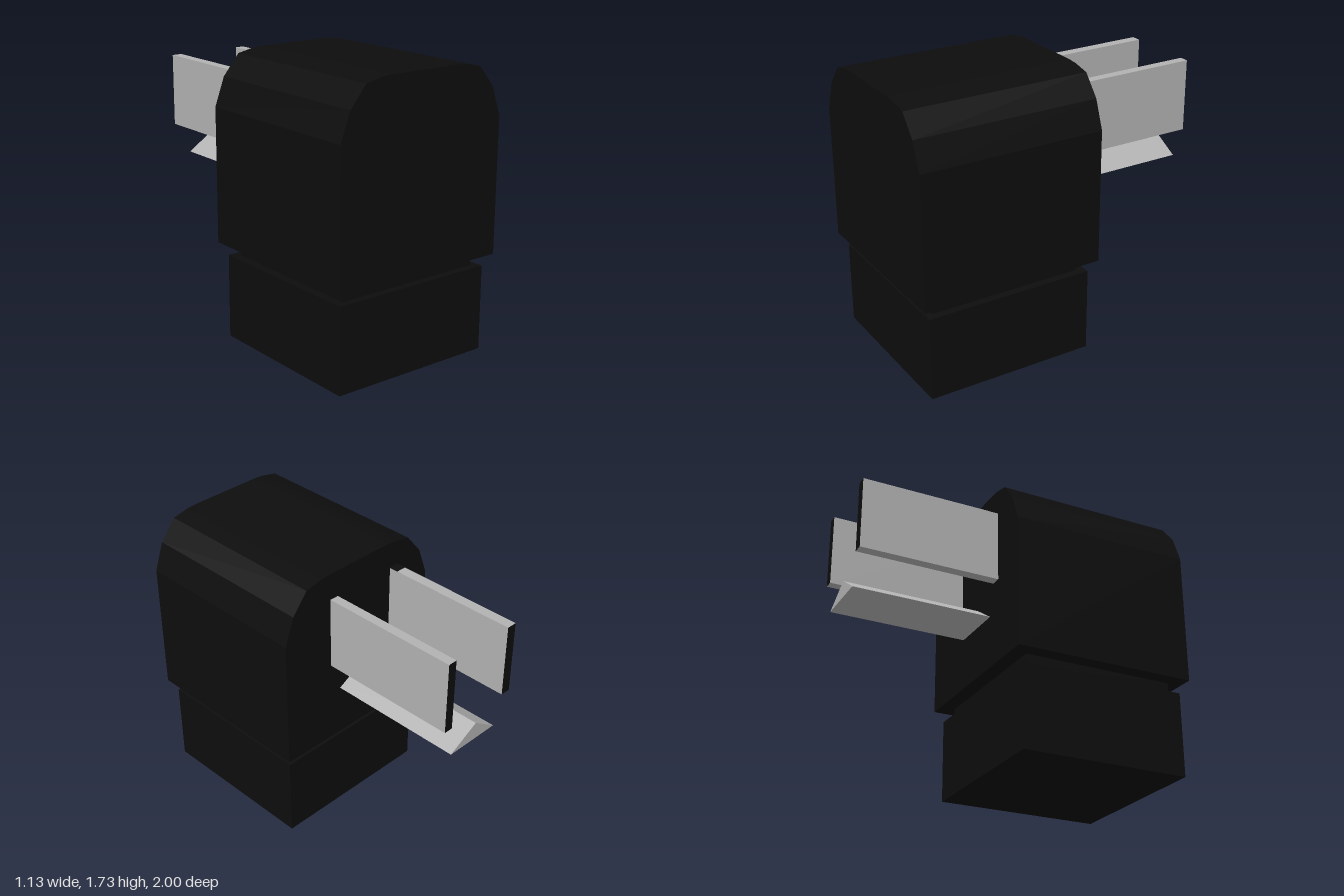
import * as THREE from 'three';

export function createModel() {
  const model = new THREE.Group();
  model.name = 'powerPlug';
  const black = new THREE.MeshStandardMaterial({ color: 0x0d0d0d });
  black.name = 'black plastic';
  const grey = new THREE.MeshStandardMaterial({ color: 0xb2b2b2 });
  grey.name = 'grey metal';

  const add = (name, geometry, material) => {
    const mesh = new THREE.Mesh(geometry, material);
    mesh.name = name;
    model.add(mesh);
    return mesh;
  };
  // Box given by its extents
  const box = (name, [x0, x1], [y0, y1], [z0, z1], material) =>
    add(name, new THREE.BoxGeometry(x1 - x0, y1 - y0, z1 - z0), material)
      .position.set((x0 + x1) / 2, (y0 + y1) / 2, (z0 + z1) / 2);
  // Outline in x, y extruded from z0 to z1
  const prism = (name, points, z0, z1, material) => {
    const shape = new THREE.Shape(points.map(([x, y]) => new THREE.Vector2(x, y)));
    const geometry = new THREE.ExtrudeGeometry(shape, { depth: z1 - z0, bevelEnabled: false });
    add(name, geometry.translate(0, 0, z0), material);
  };

  // Stepped cable end
  box('base', [-0.525, 0.525], [0, 0.515], [-0.09, 0.955], black);
  box('neck', [-0.475, 0.475], [0.515, 0.59], [-0.04, 0.91], black);

  // Main housing with faceted shoulders, mirrored left and right
  const half = [[0.567, 0.59], [0.567, 1.405], [0.505, 1.575], [0.403, 1.698], [0.3, 1.72], [0.235, 1.725]];
  const mirrored = half.map(([x, y]) => [-x, y]).reverse();
  prism('housing', [...half, ...mirrored], -0.135, 1, black);

  // Flat blades with black tips
  const bladeFaces = [grey, grey, grey, grey, grey, black];
  box('rightBlade', [-0.318, -0.255], [1.112, 1.56], [-1, -0.13], bladeFaces);
  box('leftBlade', [0.167, 0.224], [1.112, 1.56], [-1, -0.13], bladeFaces);
  box('bladeRootPatch', [-0.318, -0.255], [1.559, 1.563], [-0.193, -0.13], black);

  // Triangular earth pin
  prism('earthPin', [[-0.212, 0.913], [0.15, 0.913], [-0.05, 1.022]], -0.993, -0.13, grey);

  return model;
}
